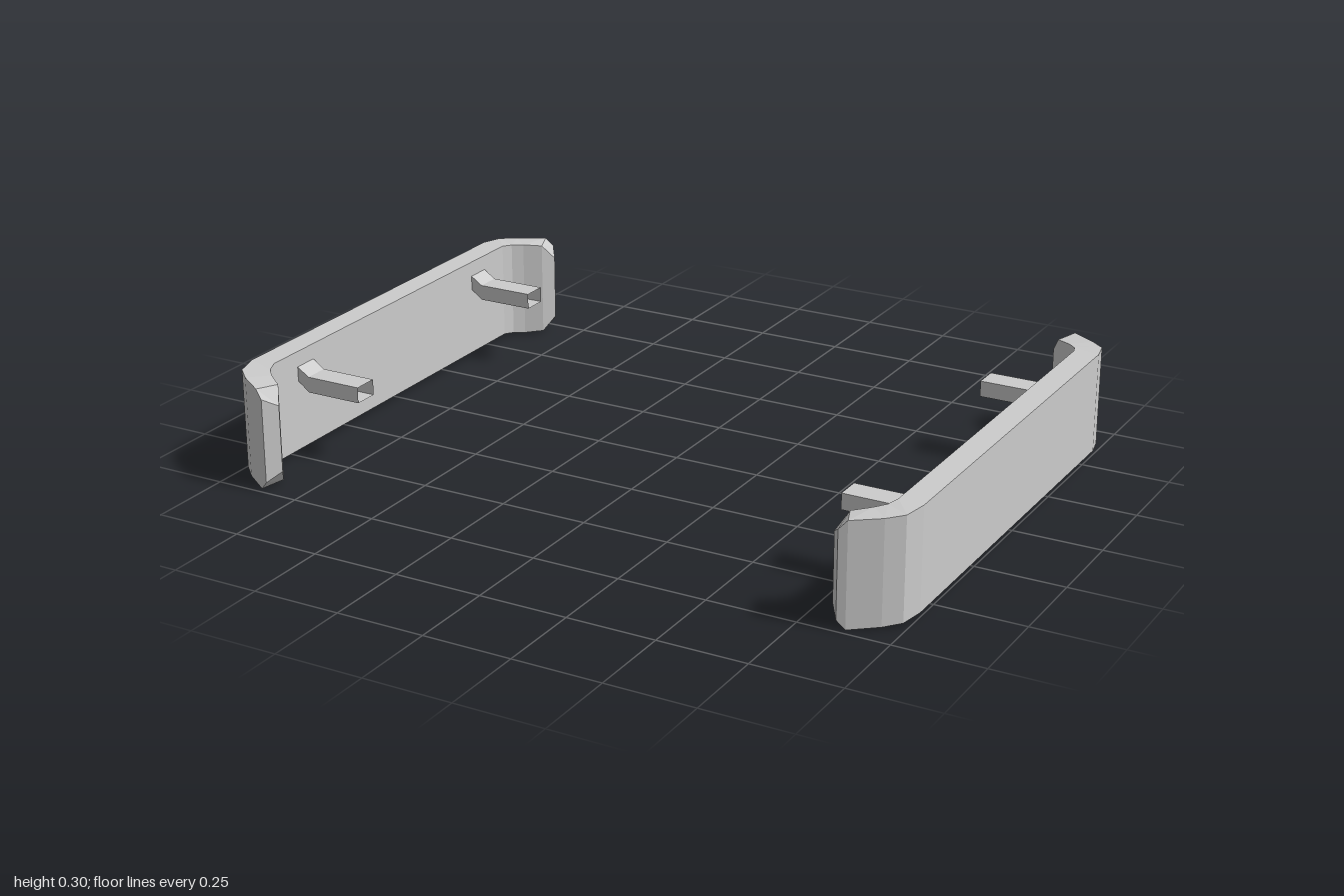
import * as THREE from 'three';

const grey = new THREE.MeshStandardMaterial({ color: 0xcccccc, side: THREE.DoubleSide });
grey.name = 'light grey';

// Skins a row of four-cornered rings with flat faces, optionally closing both ends.
function loft(rings, capped) {
  const pos = [];
  const quad = (a, b, c, d) => pos.push(...a, ...b, ...c, ...a, ...c, ...d);
  for (let i = 0; i < rings.length - 1; i++) {
    for (let j = 0; j < 4; j++) {
      const k = (j + 1) % 4;
      quad(rings[i][j], rings[i + 1][j], rings[i + 1][k], rings[i][k]);
    }
  }
  if (capped) {
    quad(...rings[0]);
    quad(...[...rings[rings.length - 1]].reverse());
  }
  const geo = new THREE.BufferGeometry();
  geo.setAttribute('position', new THREE.Float32BufferAttribute(pos, 3));
  geo.computeVertexNormals();
  return geo;
}

// Half of the bar: outer x, z, inner x, z, then outer bottom, top, inner bottom, top
const BEND = [
  [1.0, 0.58, 0.93, 0.575, 0.012, 0.298, 0.012, 0.298],
  [0.985, 0.645, 0.918, 0.608, 0.008, 0.294, 0.008, 0.294],
  [0.945, 0.683, 0.893, 0.635, 0.004, 0.291, 0.004, 0.291],
  [0.872, 0.732, 0.847, 0.668, 0.0, 0.289, 0.008, 0.285],
  [0.85, 0.74, 0.822, 0.702, 0.025, 0.265, 0.05, 0.24],
];

function barGeometry() {
  const ring = (s, [ox, oz, ix, iz, ob, ot, ib, it]) =>
    [[ox, ot, s * oz], [ox, ob, s * oz], [ix, ib, s * iz], [ix, it, s * iz]];
  const back = [...BEND].reverse().map((p) => ring(-1, p));
  const front = BEND.map((p) => ring(1, p));
  return loft([...back, ...front], true);
}

// Open-ended bracket that kinks upward where it meets the bar
function bracketGeometry() {
  const w = 0.036;
  const rings = [[0.935, 0.215, 0.257], [0.895, 0.185, 0.23], [0.73, 0.185, 0.23]].map(
    ([x, lo, hi]) => [[x, hi, w], [x, lo, w], [x, lo, -w], [x, hi, -w]]);
  return loft(rings, false);
}

export function createModel() {
  const model = new THREE.Group();
  model.name = 'sideBars';
  const bar = barGeometry();
  const bracket = bracketGeometry();

  // The right side is the left side turned half round
  for (const [name, turn] of [['left', 0], ['right', Math.PI]]) {
    const side = new THREE.Group();
    side.name = name + 'Side';
    const barMesh = new THREE.Mesh(bar, grey);
    barMesh.name = name + 'Bar';
    side.add(barMesh);
    for (const z of [-0.436, 0.436]) {
      const mesh = new THREE.Mesh(bracket, grey);
      mesh.name = name + 'Bracket';
      mesh.position.z = z;
      side.add(mesh);
    }
    side.rotation.y = turn;
    model.add(side);
  }
  return model;
}
